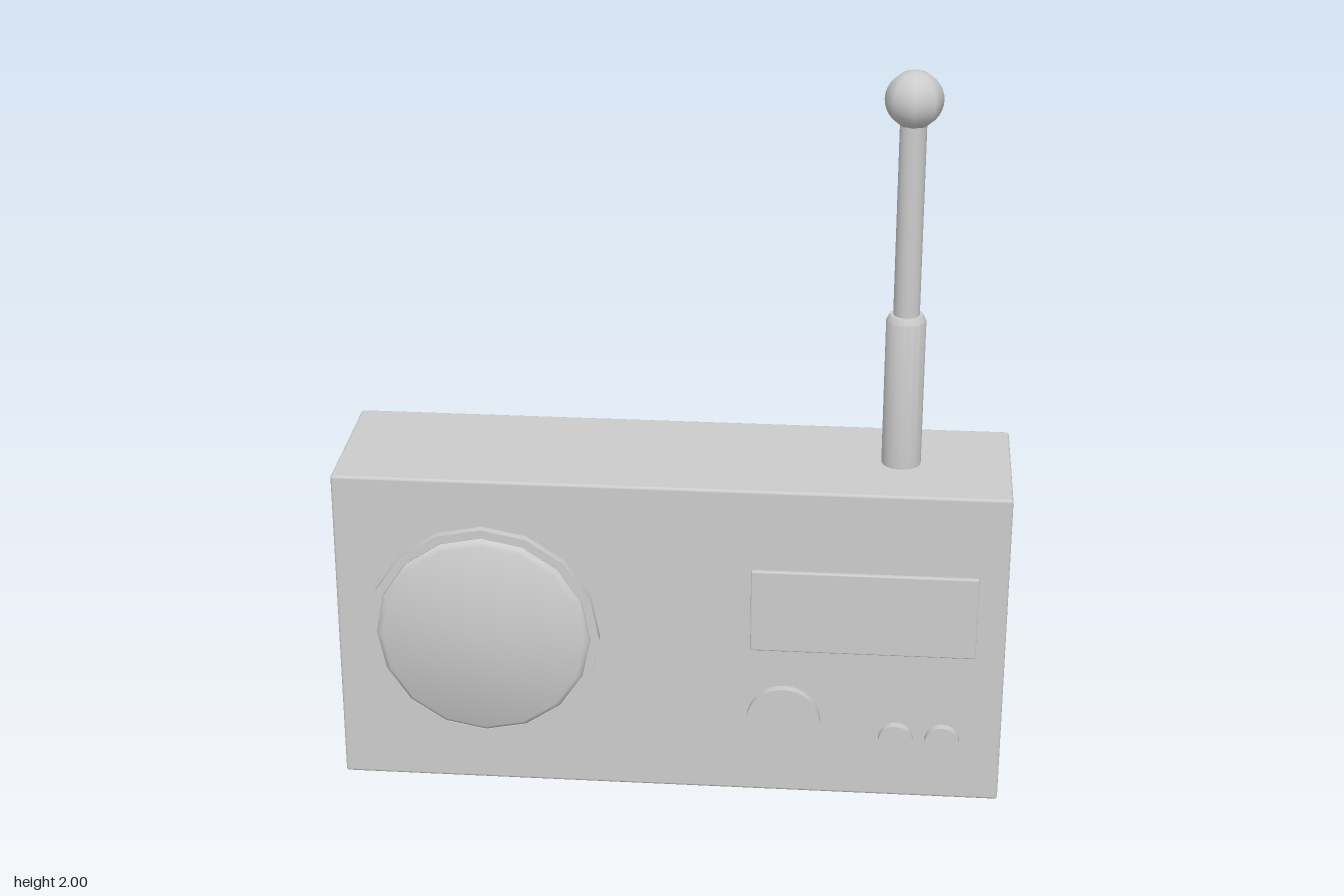
import * as THREE from 'three';
import { RoundedBoxGeometry } from 'three/addons/geometries/RoundedBoxGeometry.js';
import { toCreasedNormals } from 'three/addons/utils/BufferGeometryUtils.js';

const FRONT = 0.205; // z of the cabinet's front face

export function createModel() {
  const radio = new THREE.Group();
  radio.name = 'radio';
  const grey = new THREE.MeshStandardMaterial({ color: 0xcccccc });

  const add = (name, geometry, x, y, z) => {
    const mesh = new THREE.Mesh(geometry, grey);
    mesh.name = name;
    mesh.position.set(x, y, z);
    radio.add(mesh);
    return mesh;
  };
  // Turned part from [radius, height] pairs, listed bottom to top
  const turned = (points, sides, crease = 0.6) => toCreasedNormals(
    new THREE.LatheGeometry(points.map(([r, h]) => new THREE.Vector2(r, h)), sides), crease);
  // Turned part whose axis points out of the front face
  const onFront = (name, points, sides, x, y) =>
    add(name, turned(points, sides).rotateX(Math.PI / 2), x, y, FRONT);

  // Cabinet with slightly softened edges
  add('cabinet', new RoundedBoxGeometry(1.814, 0.91, 0.45, 2, 0.008), 0, 0.455, -0.02);

  // Speaker: flat rim around a raised, bevelled cover
  onFront('speakerRim', [[0.317, -0.01], [0.317, 0.023], [0.293, 0.023], [0.287, 0.012], [0.27, 0.012]], 16, -0.503, 0.46);
  onFront('speakerCover', [[0.288, 0], [0.292, 0.022], [0.286, 0.031], [0.276, 0.037], [0, 0.037]], 16, -0.503, 0.46);

  // Display panel
  add('display', new RoundedBoxGeometry(0.606, 0.238, 0.03, 2, 0.004), 0.525, 0.56, FRONT - 0.003);

  // Tuning knob and two push buttons
  const disc = (r) => [[r, -0.01], [r, 0.024], [0, 0.024]];
  onFront('tuningKnob', disc(0.1), 32, 0.315, 0.23);
  for (const x of [0.622, 0.748]) onFront('button', disc(0.047), 32, x, 0.183);

  // Telescopic antenna with a ball tip
  const ax = 0.611, az = -0.018;
  add('antennaBase', turned([[0.053, 0.9], [0.053, 1.322], [0.044, 1.338], [0, 1.338]], 16), ax, 0, az);
  add('antennaRod', turned([[0.035, 1.33], [0.035, 1.87]], 16), ax, 0, az);
  add('antennaTip', new THREE.SphereGeometry(0.076, 8, 16), ax, 1.924, az);

  return radio;
}
